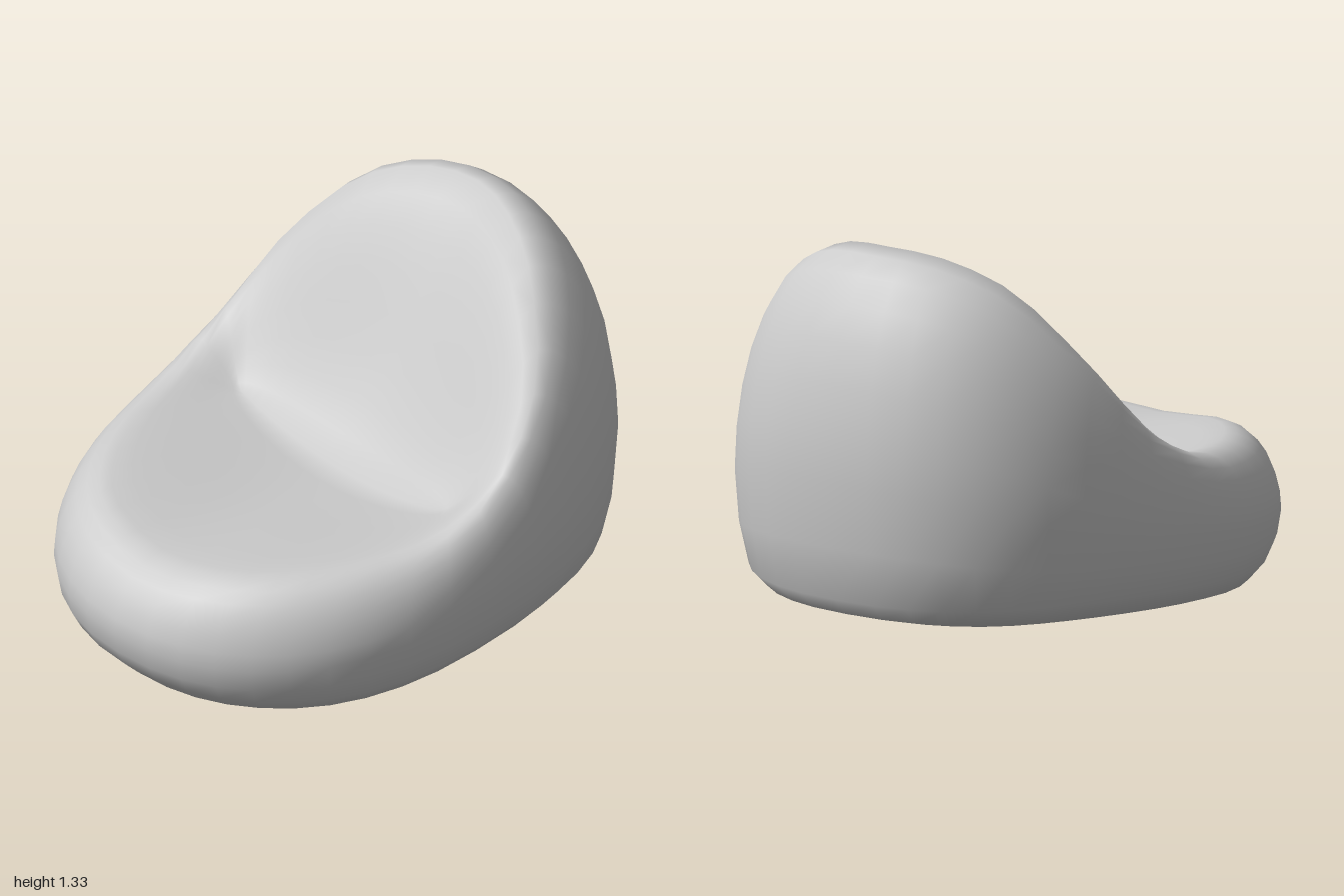
import * as THREE from 'three';
import { mergeVertices } from 'three/addons/utils/BufferGeometryUtils.js';

const SIDES = 40;
const lerp = THREE.MathUtils.lerp;

// Crest line of the cushion, from the middle of the front round to the top of the back
const halfCrest = [
  [0, 0.485, 0.78], [0.28, 0.515, 0.73], [0.46, 0.53, 0.58], [0.59, 0.54, 0.36], [0.66, 0.575, 0.1],
  [0.69, 0.72, -0.15], [0.62, 0.96, -0.36], [0.43, 1.2, -0.51], [0.22, 1.305, -0.61], [0, 1.33, -0.66],
];
const mirrored = halfCrest.slice(1, -1).reverse().map(([x, y, z]) => [-x, y, z]);
const crest = new THREE.CatmullRomCurve3(
  [...halfCrest, ...mirrored].map((p) => new THREE.Vector3(...p)), true, 'catmullrom', 0.5);

// Widest outline on plan: a slightly squared oval
function outline(angle) {
  const s = Math.sin(angle), c = Math.cos(angle);
  const power = 2 / (c < 0 ? 2.35 : 2.2);
  return [0.8 * Math.sign(s) * Math.abs(s) ** power, Math.sign(c) * Math.abs(c) ** power];
}

// Underside rises a little towards the back
const baseHeight = (z) => 0.005 + 0.065 * (1 - THREE.MathUtils.smoothstep(z, -0.5, 0.65));

// One cross-section: underside centre, out to the belly, over the crest, into the seat fold
function section(j) {
  const angle = (j / SIDES) * Math.PI * 2;
  const [bx, bz] = outline(angle);
  const back = (1 - Math.cos(angle)) / 2;
  const bellyY = 0.24 + 0.34 * back * back;
  const top = crest.getPoint(j / SIDES);
  const points = [];

  // Underside and lower edge
  for (const [scale, lift] of [[0, 0.02], [0.45, 0.015], [0.78, 0], [0.89, 0.03], [0.95, 0.09]]) {
    points.push([bx * scale, baseHeight(bz * scale) + lift, bz * scale]);
  }
  points.push([bx * 0.985, lerp(baseHeight(bz) + 0.09, bellyY, 0.45), bz * 0.985]);

  // Outer wall, a quarter round from belly to crest
  for (let i = 0; i <= 7; i++) {
    const a = (i / 7) * Math.PI / 2;
    points.push([lerp(top.x, bx, Math.cos(a)), lerp(bellyY, top.y, Math.sin(a)), lerp(top.z, bz, Math.cos(a))]);
  }

  // Seat and backrest, meeting in a fold across the middle
  const s = Math.sin(angle);
  const fold = [0.5 * s, 0.445 + 0.075 * s * s, -0.03];
  for (let i = 1; i <= 8; i++) {
    const t = i / 8;
    const drop = 0.5 * t + 0.5 * t * t * (3 - 2 * t);
    points.push([lerp(top.x, fold[0], t), lerp(top.y, fold[1], drop), lerp(top.z, fold[2], t)]);
  }
  return points;
}

// Skin the cross-sections into one closed, smooth surface
function cushionGeometry() {
  const positions = [], index = [];
  const sections = Array.from({ length: SIDES }, (_, j) => section(j));
  const rows = sections[0].length;
  sections.forEach((points) => points.forEach((p) => positions.push(...p)));
  for (let j = 0; j < SIDES; j++) {
    const next = (j + 1) % SIDES;
    for (let i = 0; i < rows - 1; i++) {
      const a = j * rows + i, b = next * rows + i;
      if (i > 0) index.push(a, b, b + 1);
      index.push(a, b + 1, a + 1);
    }
  }
  let geometry = new THREE.BufferGeometry();
  geometry.setAttribute('position', new THREE.Float32BufferAttribute(positions, 3));
  geometry.setIndex(index);
  geometry = mergeVertices(geometry, 1e-4);
  geometry.computeVertexNormals();
  return geometry;
}

export function createModel() {
  const group = new THREE.Group();
  group.name = 'beanBagChair';
  const cushion = new THREE.Mesh(cushionGeometry(), new THREE.MeshStandardMaterial({ color: 0xcccccc, roughness: 0.9 }));
  cushion.name = 'beanBagCushion';
  group.add(cushion);
  return group;
}
